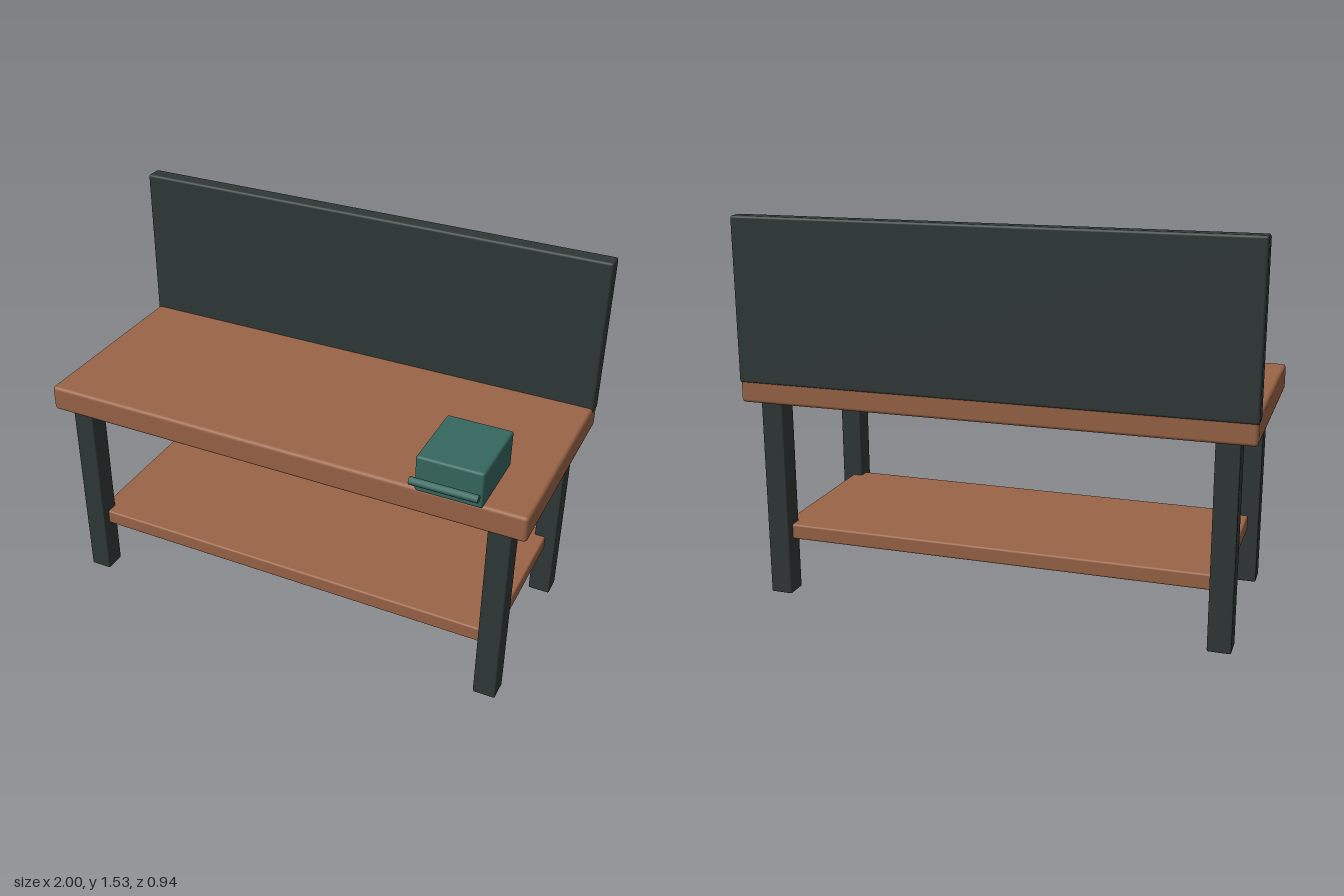
import * as THREE from 'three';
import { RoundedBoxGeometry } from 'three/addons/geometries/RoundedBoxGeometry.js';

function material(name, color) {
  const m = new THREE.MeshStandardMaterial({ color });
  m.name = name;
  return m;
}

export function createModel() {
  const group = new THREE.Group();
  group.name = 'workbench';
  const wood = material('brown wood', 0x9a6446);
  const steel = material('dark steel', 0x2f3837);
  const teal = material('teal paint', 0x35675f);

  // Box with softened edges, given by its extents on each axis
  function block(name, mat, [x0, x1], [y0, y1], [z0, z1], bevel) {
    const geo = new RoundedBoxGeometry(x1 - x0, y1 - y0, z1 - z0, 2, bevel);
    const mesh = new THREE.Mesh(geo, mat);
    mesh.name = name;
    mesh.position.set((x0 + x1) / 2, (y0 + y1) / 2, (z0 + z1) / 2);
    group.add(mesh);
  }

  // Worktop, lower shelf and back panel
  block('worktop', wood, [-0.998, 0.998], [0.805, 0.91], [-0.466, 0.395], 0.014);
  block('lowerShelf', wood, [-0.89, 0.89], [0.226, 0.288], [-0.39, 0.32], 0.008);
  block('backPanel', steel, [-1, 1], [0.885, 1.53], [-0.47, -0.4], 0.01);

  // Four legs
  for (const side of [-1, 1]) {
    const x = 0.89 * side;
    const sideName = side > 0 ? 'Left' : 'Right';
    block('front' + sideName + 'Leg', steel, [x - 0.045, x + 0.045], [0, 0.815], [0.268, 0.356], 0.006);
    block('back' + sideName + 'Leg', steel, [x - 0.045, x + 0.045], [0, 0.815], [-0.425, -0.337], 0.006);
  }

  // Vise body with its handle bar in front
  block('viseBody', teal, [0.58, 0.835], [0.91, 1.056], [0.104, 0.411], 0.01);
  const bar = new THREE.Mesh(new THREE.CylinderGeometry(0.015, 0.015, 0.255, 12), teal);
  bar.name = 'viseHandle';
  bar.rotation.z = Math.PI / 2;
  bar.position.set(0.7075, 0.984, 0.458);
  group.add(bar);

  return group;
}
